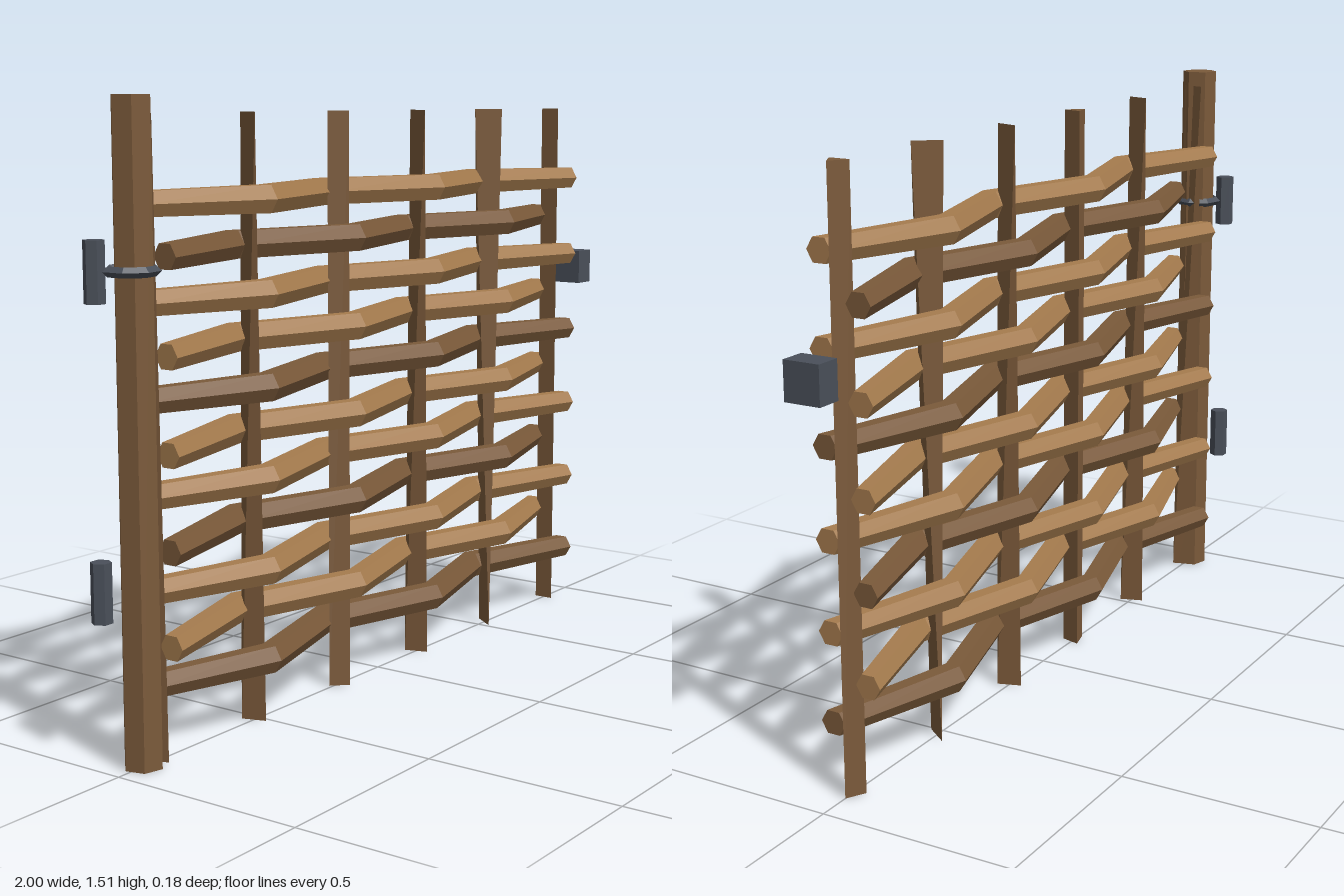
import * as THREE from 'three';
import { ConvexGeometry } from 'three/addons/geometries/ConvexGeometry.js';

function material(name, color) {
  const m = new THREE.MeshStandardMaterial({ color, flatShading: true });
  m.name = name;
  return m;
}

// Six-sided rod swept through points [x, y, z, radius], sections square to x
function rodGeometry(points) {
  const sides = 6, pos = [], idx = [];
  for (const [x, y, z, r] of points) {
    for (let k = 0; k < sides; k++) {
      const t = Math.PI / 2 + (k * Math.PI * 2) / sides;
      pos.push(x, y + r * Math.cos(t), z + r * Math.sin(t));
    }
  }
  const last = (points.length - 1) * sides;
  for (let i = 0; i < points.length - 1; i++) {
    for (let k = 0; k < sides; k++) {
      const a = i * sides + k, b = i * sides + ((k + 1) % sides);
      idx.push(a, b, a + sides, b, b + sides, a + sides);
    }
  }
  for (let k = 1; k < sides - 1; k++) {
    idx.push(0, k + 1, k, last, last + k, last + k + 1);
  }
  const g = new THREE.BufferGeometry();
  g.setAttribute('position', new THREE.Float32BufferAttribute(pos, 3));
  g.setIndex(idx);
  g.computeVertexNormals();
  return g;
}

// Split stake: a top edge and a bottom edge turned in opposite directions
function splitStake(a, b, h) {
  const v = (x, y, z) => new THREE.Vector3(x, y, z);
  return new ConvexGeometry([v(a, h, b), v(-a, h, -b), v(a, 0, -b), v(-a, 0, b)]);
}

// Three-sided stake standing on y = 0
function wedgeStake(h, turn) {
  return new THREE.CylinderGeometry(0.031, 0.031, h, 3, 1, false, turn).translate(0, h / 2, 0);
}

export function createModel() {
  const group = new THREE.Group();
  const darkWood = material('dark wood', 0x7b5a3a);
  const lightWood = material('light wood', 0xa67c4e);
  const iron = material('dark iron', 0x4a505a);

  const add = (name, geometry, mat, x = 0, y = 0, z = 0) => {
    const mesh = new THREE.Mesh(geometry, mat);
    mesh.name = name;
    mesh.position.set(x, y, z);
    group.add(mesh);
    return mesh;
  };

  // Hinge post
  add('hingePost', new THREE.CylinderGeometry(0.048, 0.048, 1.51, 6, 1, false, Math.PI / 12),
    darkWood, -0.917, 0.755, 0);

  // Upright stakes
  const stakeX = [-0.875, -0.522, -0.173, 0.18, 0.53, 0.884];
  const stakeH = 1.47;
  const stakes = [
    splitStake(0.01, -0.03, stakeH),
    splitStake(0.01, -0.03, stakeH),
    wedgeStake(stakeH, 0.25),
    splitStake(0.01, -0.03, stakeH),
    splitStake(0.022, 0.03, stakeH),
    wedgeStake(stakeH, Math.PI / 2),
  ];
  stakes.forEach((g, i) => add('stake', g, darkWood, stakeX[i]));

  // Woven rods, passing alternately in front of and behind the stakes
  for (let row = 0; row < 11; row++) {
    const y = 0.165 + row * 0.1105;
    const side = row % 2 === 0 ? 1 : -1;
    const points = stakeX.map((x, i) => {
      const end = i === 0 || i === stakeX.length - 1;
      return [i === 0 ? -0.872 : x, y, side * (i % 2 ? 0.05 : -0.05), end ? 0.033 : 0.038];
    });
    add('wovenRod', rodGeometry(points), row % 3 === 0 ? darkWood : lightWood);
  }

  // Hinge pins behind the post
  for (const y of [0.41, 1.128]) {
    add('hingePin', new THREE.CylinderGeometry(0.025, 0.025, 0.14, 6, 1, false, Math.PI / 2),
      iron, -0.975, y, -0.063);
  }

  // Iron ring around the post
  const ring = add('hingeRing', new THREE.TorusGeometry(0.055, 0.012, 4, 7), iron, -0.925, 1.13, 0);
  ring.rotation.x = Math.PI / 2;

  // Latch block
  add('latchBlock', new THREE.BoxGeometry(0.066, 0.095, 0.095), iron, 0.967, 1.004, 0.02);

  return group;
}
